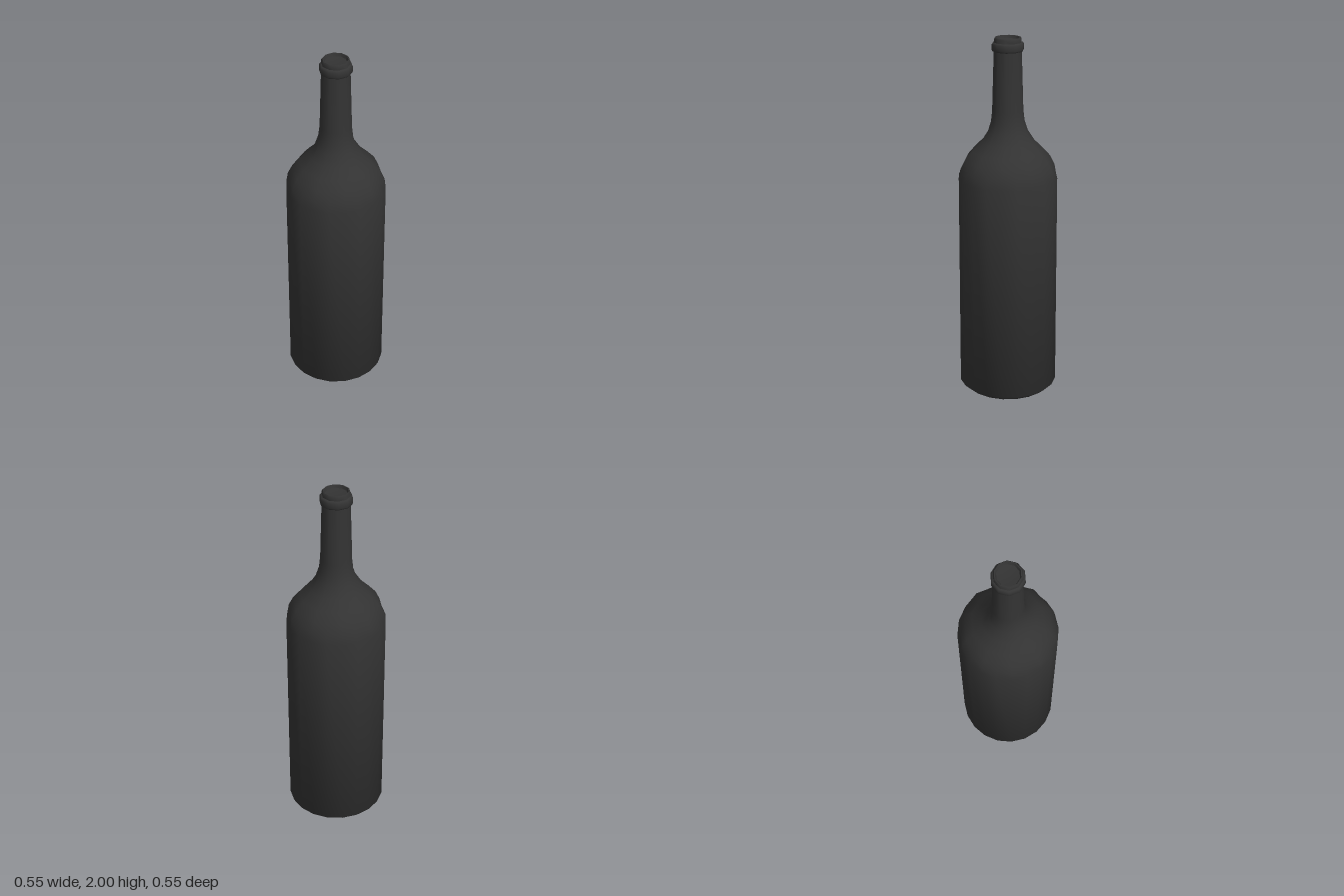
import * as THREE from 'three';
import { mergeVertices, toCreasedNormals } from 'three/addons/utils/BufferGeometryUtils.js';

const SIDES = 20;
const material = new THREE.MeshStandardMaterial({ color: 0x333333 });

// Revolves a profile of [radius, height]; above coarseFrom the ring has half as many sides.
function turned(name, profile, coarseFrom) {
  const points = profile.map(([r, y]) => new THREE.Vector2(r, y));
  let geometry = new THREE.LatheGeometry(points, SIDES);
  const pos = geometry.attributes.position;
  const flatten = Math.cos((2 * Math.PI) / SIDES);
  for (let i = 0; i < pos.count; i++) {
    const segment = Math.floor(i / points.length);
    if (segment % 2 === 1 && pos.getY(i) > coarseFrom) {
      pos.setX(i, pos.getX(i) * flatten);
      pos.setZ(i, pos.getZ(i) * flatten);
    }
  }
  geometry.deleteAttribute('uv');
  geometry.deleteAttribute('normal');
  geometry = toCreasedNormals(mergeVertices(geometry, 1e-5), 0.9);
  const mesh = new THREE.Mesh(geometry, material);
  mesh.name = name;
  return mesh;
}

export function createModel() {
  const bottle = new THREE.Group();
  bottle.name = 'bottle';

  // Hollowed base, straight body, rounded shoulder and tapering neck
  bottle.add(turned('bodyAndNeck', [
    [0, 0.05], [0.12, 0.04], [0.18, 0.015], [0.21, 0], [0.245, 0.003],
    [0.275, 0.03], [0.27, 1.24],
    [0.26, 1.295], [0.235, 1.345], [0.195, 1.39], [0.145, 1.44],
    [0.11, 1.495], [0.092, 1.55], [0.085, 1.61], [0.075, 1.935],
  ], 1.26));

  // Raised collar, lip and shallow mouth
  bottle.add(turned('collarAndMouth', [
    [0.073, 1.927], [0.083, 1.93], [0.086, 1.937], [0.086, 1.965], [0.081, 1.973],
    [0.074, 1.975], [0.074, 1.993], [0.069, 2], [0.064, 2],
    [0.058, 1.985], [0, 1.975],
  ], 0));

  return bottle;
}
